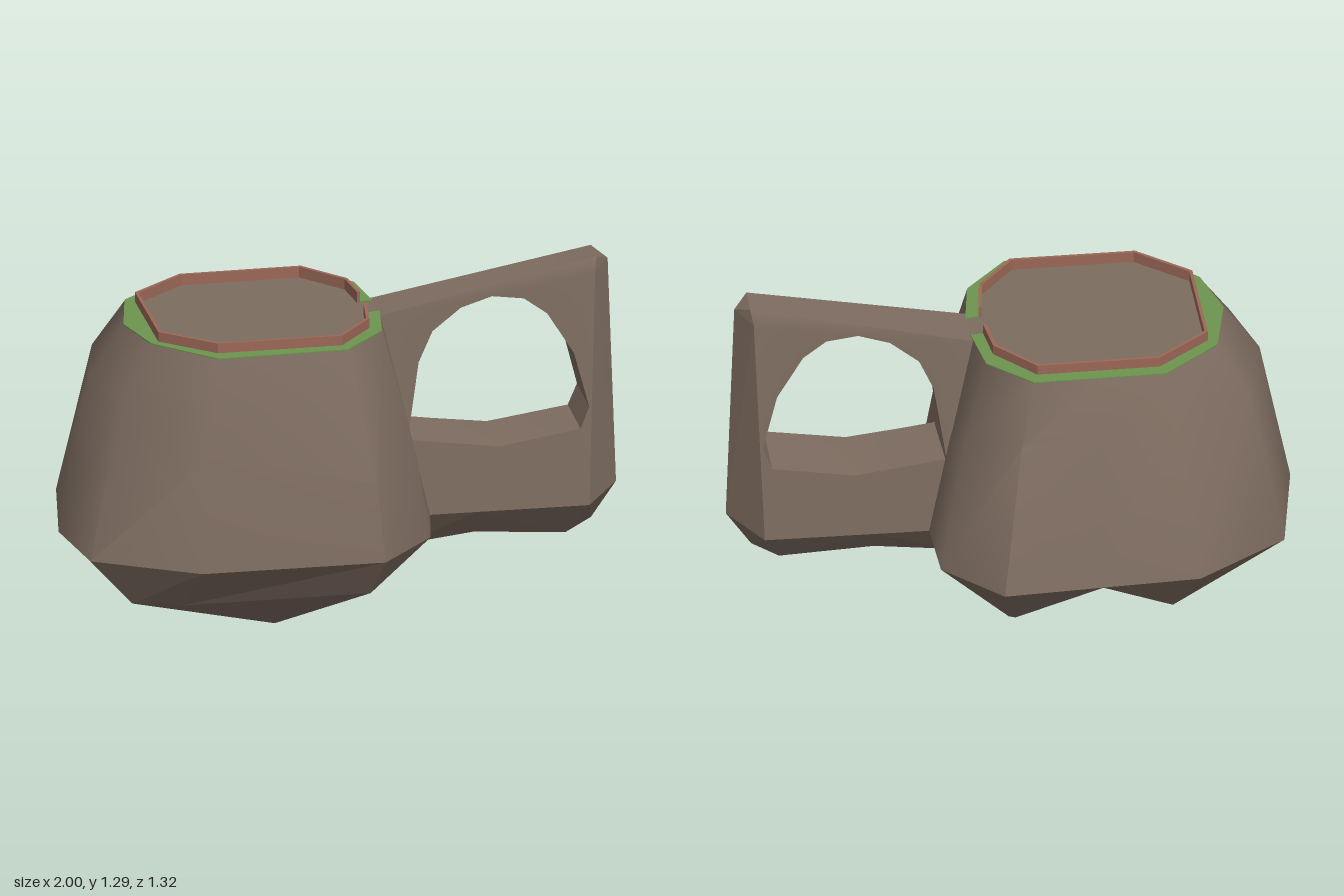
import * as THREE from 'three';
import { toCreasedNormals } from 'three/addons/utils/BufferGeometryUtils.js';
import { ConvexGeometry } from 'three/addons/geometries/ConvexGeometry.js';

const stone = new THREE.MeshStandardMaterial({ color: 0x7d6c60 });
stone.name = 'brown stone';
const grass = new THREE.MeshStandardMaterial({ color: 0x6c944e });
grass.name = 'grass green';
const clay = new THREE.MeshStandardMaterial({ color: 0x9b6757 });
clay.name = 'red clay';

const TOP = 1.13, BASE = 0.39;

// Body corners: base x,z | top x,z | shoulder height, bulge | underside x,y,z
const corners = [
  [-0.44, -0.66, -0.385, -0.457, 0.95, 0.02, -0.44, 0.12, -0.375],
  [-0.10, -0.60, -0.155, -0.406, 0.95, 0.02, -0.18, 0.19, -0.24],
  [0.25, -0.54, 0.075, -0.355, 0.92, 0.03, 0.12, 0.135, -0.29],
  [0.40, -0.29, 0.19, -0.175, 0.85, 0.02, 0.14, 0.135, -0.275],
  [0.35, -0.03, 0.175, 0.025, 0.75, 0.0, 0.02, 0.185, -0.03],
  [0.29, 0.27, 0.155, 0.135, 0.75, 0.0, 0.15, 0.21, 0.16],
  [0.20, 0.48, 0.08, 0.325, 0.7, 0.02, -0.03, 0.185, 0.365],
  [-0.05, 0.655, -0.107, 0.457, 0.67, 0.03, -0.06, 0.24, 0.545],
  [-0.69, 0.505, -0.567, 0.36, 0.8, 0.03, -0.66, 0.19, 0.27],
  [-1.0, 0.225, -0.72, 0.12, 0.95, 0.06, -0.84, 0.21, 0.23],
  [-0.98, -0.10, -0.73, -0.10, 0.95, 0.07, -0.70, 0.19, 0.02],
  [-0.81, -0.51, -0.625, -0.33, 0.95, 0.06, -0.55, 0.12, -0.17],
];

// Rim line, running from one side of the handle gap to the other
const rim = [[0.105, 0.135], [0.05, 0.285], [-0.11, 0.41], [-0.545, 0.31], [-0.69, 0.115],
  [-0.6, -0.295], [-0.38, -0.405], [0.045, -0.31], [0.145, -0.125], [0.13, 0.02]];

// Joins rings of points, ordered from top to bottom, with optional end points
function loft(rings, topPoint, bottomPoint) {
  const out = [];
  const tri = (...pts) => pts.forEach((p) => out.push(...p));
  const n = rings[0].length;
  for (let i = 0; i < n; i++) {
    const j = (i + 1) % n;
    for (let r = 0; r < rings.length - 1; r++) {
      const a = rings[r], b = rings[r + 1];
      tri(a[i], a[j], b[j], a[i], b[j], b[i]);
    }
    const last = rings[rings.length - 1];
    if (topPoint) tri(topPoint, rings[0][j], rings[0][i]);
    if (bottomPoint) tri(bottomPoint, last[i], last[j]);
  }
  const g = new THREE.BufferGeometry();
  g.setAttribute('position', new THREE.Float32BufferAttribute(out, 3));
  g.computeVertexNormals();
  return g;
}

// Flat open band between two lines of x,z points
function band(outer, inner, height) {
  const pts = [...outer, ...[...inner].reverse()].map(([x, z]) => new THREE.Vector2(x, -z));
  const g = new THREE.ExtrudeGeometry(new THREE.Shape(pts), { depth: height, bevelEnabled: false });
  return g.rotateX(-Math.PI / 2).translate(0, TOP, 0);
}

// Handle frame: u runs outward, w across the handle
const place = (u, y, w) => new THREE.Vector3(0.32 + 0.972 * u - 0.234 * w, y, 0.12 + 0.234 * u + 0.972 * w);
const halfWidth = (y) => (y > 1.25 ? 0.06 : 0.15 - 0.077 * (y - BASE));
const hull = (pts) => new ConvexGeometry(pts.map((p) => place(...p)));
const bothSides = (u, y, w = halfWidth(y)) => [[u, y, w], [u, y, -w]];

function handleFrame() {
  const v = (list) => list.map(([x, y]) => new THREE.Vector2(x, y));
  const shape = new THREE.Shape(v([[-0.2, BASE], [0.578, BASE], [0.61, 1.24], [0.62, 1.29],
    [-0.16, 1.13], [-0.25, 1.125]]));
  shape.holes.push(new THREE.Path(v([[-0.07, 0.67], [-0.027, 0.95], [0.024, 1.06], [0.127, 1.14],
    [0.24, 1.175], [0.353, 1.16], [0.436, 1.1], [0.53, 0.95], [0.582, 0.75], [0.55, 0.67],
    [0.26, 0.625], [0.065, 0.65]])));
  const g = new THREE.ExtrudeGeometry(shape, { depth: 2, bevelEnabled: false }).translate(0, 0, -1);
  const p = g.attributes.position;
  for (let i = 0; i < p.count; i++) {
    const y = p.getY(i);
    const q = place(p.getX(i), y, p.getZ(i) * halfWidth(y));
    p.setXYZ(i, q.x, q.y, q.z);
  }
  g.computeVertexNormals();
  return toCreasedNormals(g, 0.6);
}

export function createModel() {
  const model = new THREE.Group();
  const add = (name, geometry, material, parent = model) => {
    const mesh = new THREE.Mesh(geometry, material);
    mesh.name = name;
    parent.add(mesh);
  };

  // Body wall with a soft shoulder
  const topRing = corners.map((c) => [c[2], TOP, c[3]]);
  const baseRing = corners.map((c) => [c[0], BASE, c[1]]);
  const shoulder = corners.map(([bx, bz, tx, tz, y, bulge]) => {
    const t = (y - BASE) / (TOP - BASE);
    const x = bx + (tx - bx) * t, z = bz + (tz - bz) * t;
    const d = Math.hypot(x + 0.28, z);
    return [x + bulge * (x + 0.28) / d, y, z + bulge * z / d];
  });
  add('bodyWall', toCreasedNormals(loft([topRing, shoulder, baseRing]), 0.8), stone);
  add('bodyTop', loft([topRing], [-0.28, TOP, 0]), stone);

  // Rocky underside
  const lowRing = corners.map((c) => c.slice(6));
  add('underside', loft([baseRing, lowRing], null, [-0.23, 0, 0.09]), stone);

  // Grass border and low rim wall, both open at the handle
  const order = [5, 6, 7, 8, 9, 10, 11, 0, 1, 2, 3, 4];
  add('grassBorder', band(order.map((i) => [corners[i][2], corners[i][3]]), rim, 0.004), grass);
  const rimInner = rim.map(([x, z]) => [-0.28 + (x + 0.28) * 0.97, z * 0.97]);
  add('rimWall', band(rim, rimInner, 0.04), clay);

  // Handle: pierced frame, pointed outer edge and keeled bottom
  const handle = new THREE.Group();
  handle.name = 'handle';
  model.add(handle);
  add('handleFrame', handleFrame(), stone, handle);
  add('handleEdge', hull([...bothSides(0.578, BASE), ...bothSides(0.61, 1.24), ...bothSides(0.62, 1.29),
    [0.67, 1.26, 0], [0.7, 0.42, 0]]), stone, handle);
  const middle = [...bothSides(0.18, BASE), ...bothSides(0.18, 0.28, 0.05)];
  add('handleKeelInner', hull([...bothSides(-0.15, BASE), ...bothSides(-0.08, 0.245, 0.04), ...middle]), stone, handle);
  add('handleKeelOuter', hull([...middle, ...bothSides(0.578, BASE), [0.7, 0.42, 0],
    ...bothSides(0.514, 0.25, 0.03), [0.61, 0.29, 0]]), stone, handle);

  return model;
}
